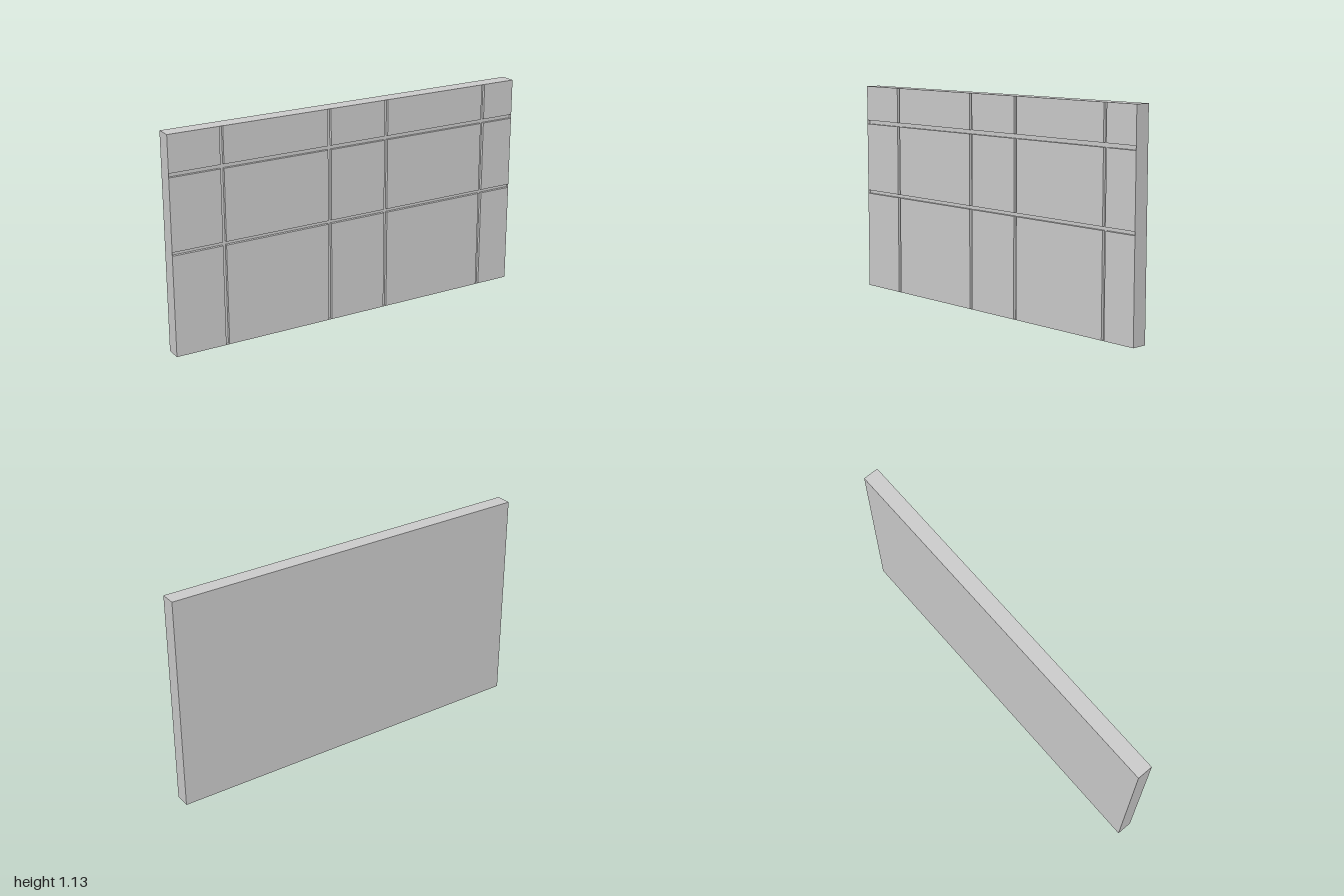
import * as THREE from 'three';

const W = 2, H = 1.13, D = 0.082, GROOVE = 0.015, RIM = 0.001;

// Groove positions as [centre, width]
const COLUMNS = [[-0.722, 0.018], [-0.13, 0.018], [0.203, 0.018], [0.807, 0.018]];
const ROWS = [[0.537, 0.018], [0.93, 0.021]];

// Solid spans left between the grooves
function spans(start, end, grooves) {
  const result = [];
  let from = start;
  for (const [centre, width] of grooves) {
    result.push([from, centre - width / 2]);
    from = centre + width / 2;
  }
  result.push([from, end]);
  return result;
}

export function createModel() {
  const group = new THREE.Group();
  group.name = 'groovedWallPanel';
  const material = new THREE.MeshStandardMaterial({ color: 0xcccccc, flatShading: true });

  function box(name, x0, x1, y0, y1, z0, z1) {
    const mesh = new THREE.Mesh(new THREE.BoxGeometry(x1 - x0, y1 - y0, z1 - z0), material);
    mesh.position.set((x0 + x1) / 2, (y0 + y1) / 2, (z0 + z1) / 2);
    mesh.name = name;
    group.add(mesh);
  }

  const front = D / 2, floor = front - GROOVE;

  // Backing slab, its front is the floor of the grooves
  box('backingSlab', -W / 2, W / 2, 0, H, -front, floor);

  // Raised panels between the grooves
  for (const [x0, x1] of spans(-W / 2, W / 2, COLUMNS))
    for (const [y0, y1] of spans(0, H, ROWS))
      box('panel', x0, x1, y0, y1, floor, front);

  // Paper-thin walls closing the groove ends at the outer edges
  for (const [c, w] of COLUMNS) {
    box('grooveEndBottom', c - w / 2, c + w / 2, 0, RIM, floor, front);
    box('grooveEndTop', c - w / 2, c + w / 2, H - RIM, H, floor, front);
  }
  for (const [c, w] of ROWS) {
    box('grooveEndRight', -W / 2, -W / 2 + RIM, c - w / 2, c + w / 2, floor, front);
    box('grooveEndLeft', W / 2 - RIM, W / 2, c - w / 2, c + w / 2, floor, front);
  }
  return group;
}
